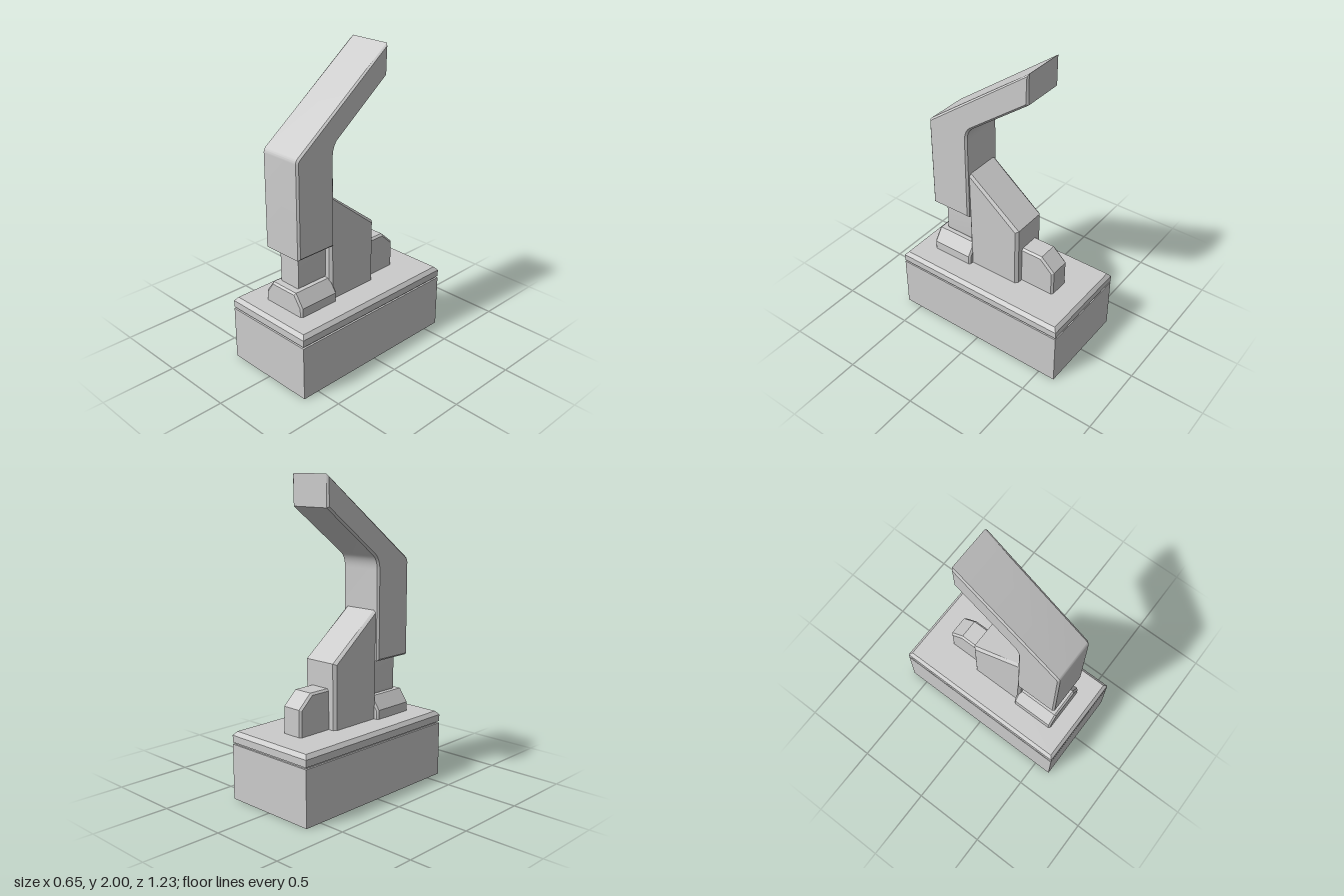
import * as THREE from 'three';
import { toCreasedNormals } from 'three/addons/utils/BufferGeometryUtils.js';

const material = new THREE.MeshStandardMaterial({ color: 0xcccccc });

function part(name, geometry) {
  const mesh = new THREE.Mesh(geometry, material);
  mesh.name = name;
  return mesh;
}

// Extrude a shape to a total thickness, centred, with chamfered rims that stay inside the outline
function chamfered(shape, thickness, bevel) {
  const geometry = new THREE.ExtrudeGeometry(shape, {
    depth: thickness - 2 * bevel, curveSegments: 8,
    bevelEnabled: bevel > 0, bevelSize: bevel, bevelThickness: bevel, bevelOffset: -bevel, bevelSegments: 1,
  });
  geometry.translate(0, 0, bevel - thickness / 2);
  return toCreasedNormals(geometry, 0.5);
}

const polygon = (points) => new THREE.Shape(points.map(([a, b]) => new THREE.Vector2(a, b)));

// Side profile given as (z, y), extruded across x
const sideProfile = (shape, width, bevel) => chamfered(shape, width, bevel).rotateY(-Math.PI / 2);

function box(w, h, d, y) {
  return new THREE.BoxGeometry(w, h, d).translate(0, y + h / 2, 0);
}

// Box whose top face is inset on all four sides
function bevelledTop(w, h, d, y, inset) {
  const geometry = new THREE.BoxGeometry(w, h, d).toNonIndexed();
  const p = geometry.attributes.position;
  for (let i = 0; i < p.count; i++) {
    if (p.getY(i) > 0) {
      p.setX(i, p.getX(i) - Math.sign(p.getX(i)) * inset);
      p.setZ(i, p.getZ(i) - Math.sign(p.getZ(i)) * inset);
    }
  }
  geometry.computeVertexNormals();
  return geometry.translate(0, y + h / 2, 0);
}

export function createModel() {
  const model = new THREE.Group();
  model.name = 'leverSwitch';

  // Housing, shadow groove and cover plate
  model.add(part('housing', box(0.65, 0.358, 1.23, 0)));
  model.add(part('groove', box(0.626, 0.014, 1.206, 0.357)));
  model.add(part('coverPlate', box(0.65, 0.045, 1.23, 0.37)));
  model.add(part('coverPlateBevel', bevelledTop(0.65, 0.025, 1.23, 0.415, 0.021)));

  // Bent lever handle, softened at the bend
  const lever = new THREE.Shape();
  lever.moveTo(0.48, 0.82);
  lever.lineTo(0.48, 1.43);
  lever.quadraticCurveTo(0.48, 1.453, 0.462, 1.467);
  lever.lineTo(-0.255, 2.0);
  lever.lineTo(-0.255, 1.805);
  lever.lineTo(0.15, 1.5);
  lever.quadraticCurveTo(0.19, 1.468, 0.19, 1.4);
  lever.lineTo(0.19, 0.82);
  lever.closePath();
  model.add(part('leverHandle', sideProfile(lever, 0.3, 0.012)));

  // Sloped support behind the lever
  const support = polygon([[0.2, 0.42], [0.2, 1.155], [-0.18, 0.862], [-0.18, 0.42]]);
  model.add(part('support', sideProfile(support, 0.26, 0.018)));

  // Small stop at the rear
  const stop = polygon([[-0.15, 0.42], [-0.15, 0.7], [-0.325, 0.7], [-0.42, 0.612], [-0.42, 0.42]]);
  model.add(part('rearStop', sideProfile(stop, 0.154, 0.013)));

  // Foot block with sloping shoulders
  const foot = polygon([[-0.163, 0.42], [0.163, 0.42], [0.163, 0.5], [0.103, 0.585], [-0.103, 0.585], [-0.163, 0.5]]);
  model.add(part('footBlock', chamfered(foot, 0.3, 0.012).translate(0, 0, 0.33)));

  // Plunger joining the foot block and the lever
  const x = 0.08, c = 0.024, y0 = 0.58, y1 = 0.822;
  const plunger = new THREE.Shape();
  plunger.moveTo(-x + c, y0);
  plunger.lineTo(x - c, y0);
  plunger.quadraticCurveTo(x, y0, x, y0 + c);
  plunger.lineTo(x, y1 - c);
  plunger.quadraticCurveTo(x, y1, x - c, y1);
  plunger.lineTo(-x + c, y1);
  plunger.quadraticCurveTo(-x, y1, -x, y1 - c);
  plunger.lineTo(-x, y0 + c);
  plunger.quadraticCurveTo(-x, y0, -x + c, y0);
  model.add(part('plunger', chamfered(plunger, 0.245, 0).translate(0, 0, 0.3025)));

  return model;
}
